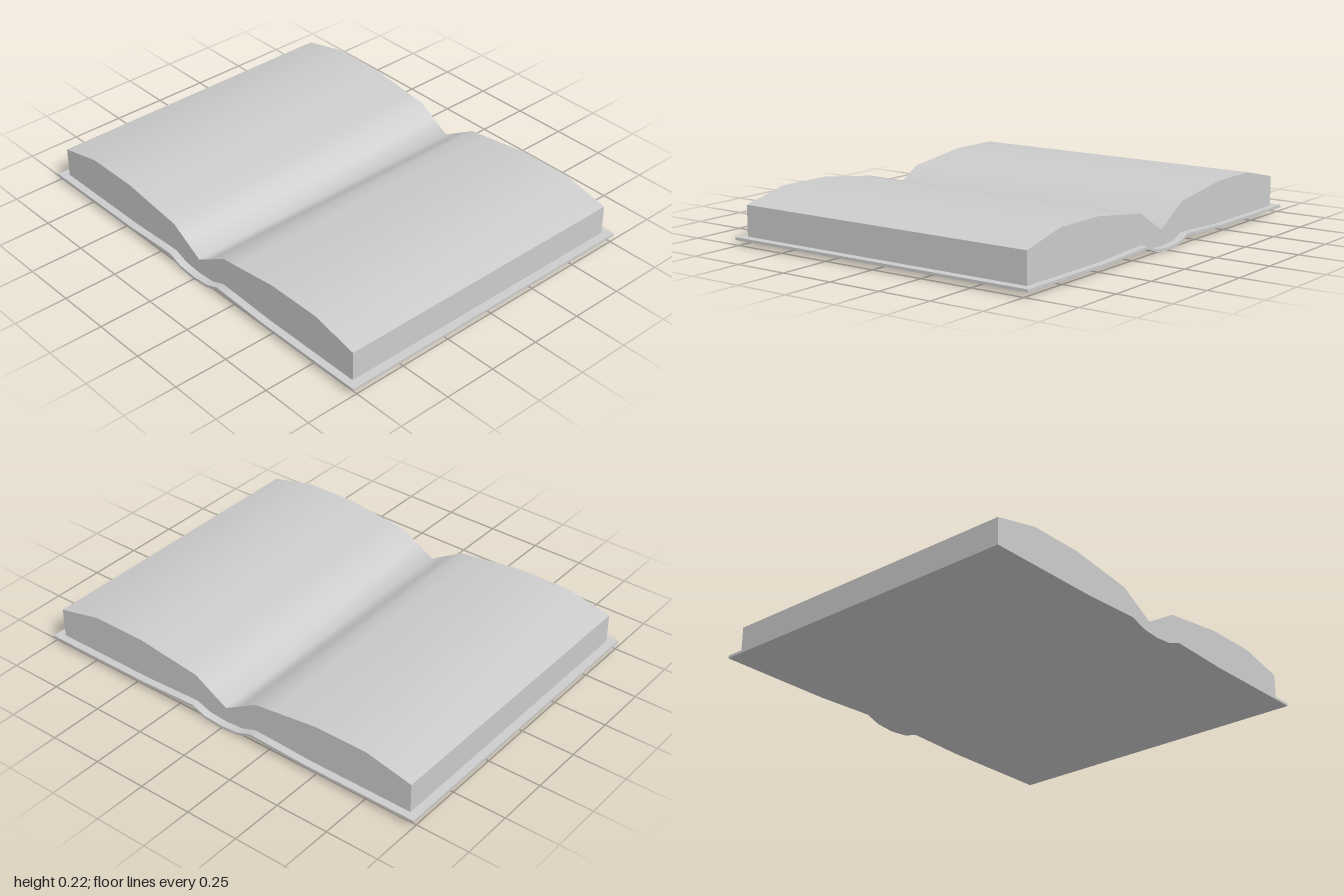
import * as THREE from 'three';
import { toCreasedNormals } from 'three/addons/utils/BufferGeometryUtils.js';

const material = new THREE.MeshStandardMaterial({ color: 0xcccccc });

// Mirrors a half profile (spine outwards) into a full one running from -x to +x
function mirrored(half) {
  const left = half.filter(([x]) => x > 0).map(([x, y]) => [-x, y]).reverse();
  return [...left, ...half];
}

// Solid between an upper and a lower profile, centred along z
function slab(name, upper, lower, depth, crease) {
  const outline = [...mirrored(lower), ...mirrored(upper).reverse()];
  const shape = new THREE.Shape(outline.map(([x, y]) => new THREE.Vector2(x, y)));
  const geometry = new THREE.ExtrudeGeometry(shape, { depth, bevelEnabled: false });
  geometry.translate(0, 0, -depth / 2);
  const mesh = new THREE.Mesh(toCreasedNormals(geometry, crease), material);
  mesh.name = name;
  return mesh;
}

export function createModel() {
  const book = new THREE.Group();
  book.name = 'openBook';

  // Half profiles, from the spine to the outer edge
  const coverBottom = [[0, 0], [0.09, 0.008], [0.16, 0.033], [0.25, 0.03], [0.45, 0.022], [1, 0.022]];
  const coverTop = [[0, 0.013], [0.09, 0.02], [0.16, 0.046], [0.25, 0.043], [0.45, 0.034], [1, 0.034]];
  const pageTop = [[0, 0.085], [0.09, 0.137], [0.165, 0.181], [0.25, 0.192], [0.48, 0.222], [0.74, 0.222], [0.96, 0.172]];
  // The pages rest just inside the cover's upper face
  const pageBottom = coverTop.map(([x, y]) => [Math.min(x, 0.96), y - 0.002]);

  // Thin cover, bent down at the spine
  book.add(slab('cover', coverTop, coverBottom, 1.54, 1.1));
  // Both page blocks, meeting in the valley above the spine
  book.add(slab('pages', pageTop, pageBottom, 1.47, 1.15));

  return book;
}
